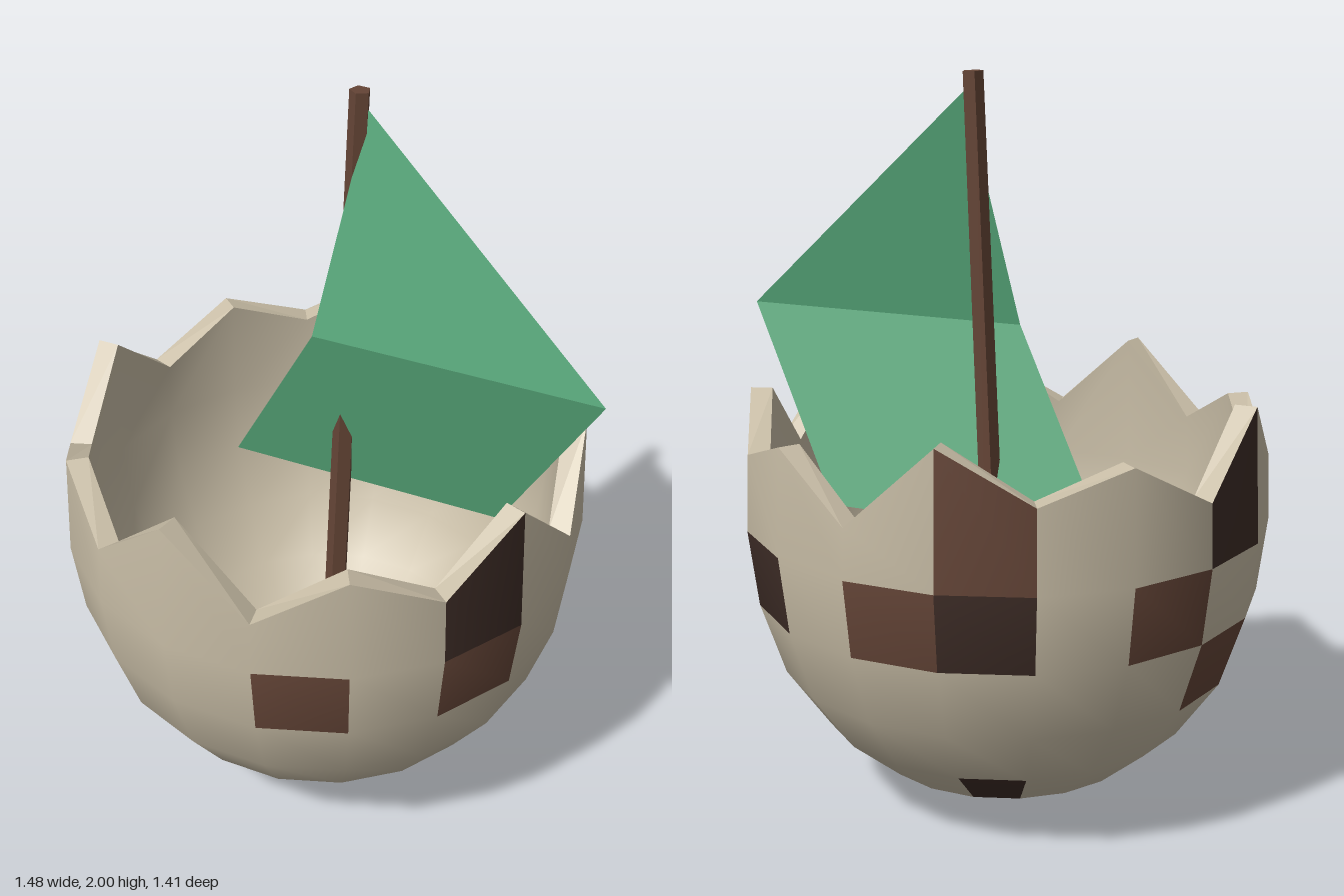
import * as THREE from 'three';

const SIDES = 18, CENTRE_X = -0.025, WALL = 0.06;
// Height of each rim corner, going round from +x towards +z
const RIM = [0.93, 1.155, 0.99, 1.095, 0.955, 1.165, 0.97, 1.09, 0.975,
  1.165, 0.97, 1.1, 1.02, 1.16, 0.935, 1.09, 1.01, 1.135];
// Shell profiles below the rim: [radius, height]
const OUTER = [[0, 0], [0.19, 0.03], [0.36, 0.105], [0.505, 0.225], [0.623, 0.39], [0.69, 0.59], [0.717, 0.8]];
const INNER = [[0, 0.06], [0.17, 0.088], [0.325, 0.158], [0.455, 0.268], [0.565, 0.42], [0.63, 0.605], [0.657, 0.8]];
// Spotted cells: [row, column]
const BROWN = [[5, 3], [5, 1], [2, 1], [3, 0], [1, 6], [1, 3], [6, 12], [5, 13], [5, 10], [4, 9], [2, 8]];
const DARK = [[6, 7], [4, 6], [6, 1], [2, 3], [2, 2], [5, 15], [1, 4], [5, 12], [6, 9], [2, 12], [1, 7]];

function material(name, color, side = THREE.FrontSide) {
  const m = new THREE.MeshStandardMaterial({ color, side });
  m.name = name;
  return m;
}

function ringPoint(k, r, y) {
  const a = (k % SIDES) * Math.PI * 2 / SIDES;
  return [CENTRE_X + r * Math.cos(a), y, r * Math.sin(a)];
}

function rimPoint(k, inset) {
  const y = RIM[k % SIDES];
  return ringPoint(k, 0.717 - 0.04 * (y - 0.8) - inset, y);
}

// Smooth bowl wall; cellColour(row, column) picks a material group
function bowl(profile, inset, inward, cellColour) {
  const pos = [], lists = [[], [], []];
  for (const [r, y] of profile) for (let k = 0; k < SIDES; k++) pos.push(...ringPoint(k, r, y));
  for (let k = 0; k < SIDES; k++) pos.push(...rimPoint(k, inset));
  for (let row = 0; row < profile.length; row++) {
    for (let k = 0; k < SIDES; k++) {
      const n = (k + 1) % SIDES;
      const a = row * SIDES + k, b = a + SIDES, d = row * SIDES + n, c = d + SIDES;
      const tris = row === 0 ? [[a, b, c]] : [[a, b, c], [a, c, d]];
      for (const t of tris) lists[cellColour(row, k)].push(...(inward ? t.reverse() : t));
    }
  }
  const g = new THREE.BufferGeometry();
  g.setAttribute('position', new THREE.Float32BufferAttribute(pos, 3));
  g.setIndex(lists.flat());
  let start = 0;
  lists.forEach((list, i) => {
    if (list.length) g.addGroup(start, list.length, i);
    start += list.length;
  });
  g.computeVertexNormals();
  return g;
}

// Flat-shaded faces from a list of quads or triangles
function facets(faces) {
  const pos = [];
  for (const f of faces) {
    for (let i = 1; i < f.length - 1; i++) pos.push(...f[0], ...f[i], ...f[i + 1]);
  }
  const g = new THREE.BufferGeometry();
  g.setAttribute('position', new THREE.Float32BufferAttribute(pos, 3));
  g.computeVertexNormals();
  return g;
}

export function createModel() {
  const group = new THREE.Group();
  const shell = material('shell', 0xc8bda6);
  const brown = material('brown', 0x664638);
  const dark = material('darkBrown', 0x3d2c26);
  const green = material('sailGreen', 0x57a87a, THREE.DoubleSide);
  const wood = material('wood', 0x654536);
  wood.flatShading = true;

  const add = (name, geometry, mat) => {
    const mesh = new THREE.Mesh(geometry, mat);
    mesh.name = name;
    group.add(mesh);
    return mesh;
  };

  // Broken eggshell: spotted outside, plain inside
  const has = (list, row, k) => list.some(([r, c]) => r === row && c === k);
  const spots = (row, k) => (has(BROWN, row, k) ? 1 : has(DARK, row, k) ? 2 : 0);
  add('outerShell', bowl(OUTER, 0, false, spots), [shell, brown, dark]);
  add('innerShell', bowl(INNER, WALL, true, () => 0), [shell]);

  // Jagged broken edge joining both walls
  const edge = [];
  for (let k = 0; k < SIDES; k++) {
    edge.push([rimPoint(k, 0), rimPoint(k, WALL), rimPoint(k + 1, WALL), rimPoint(k + 1, 0)]);
  }
  add('brokenEdge', facets(edge), shell);

  // Leaning five-sided mast
  const top = new THREE.Vector3(0.002, 2, -0.155), foot = new THREE.Vector3(-0.05, 0.07, -0.095);
  const dir = top.clone().sub(foot);
  const mast = add('mast', new THREE.CylinderGeometry(0.028, 0.034, dir.length(), 5), wood);
  mast.position.copy(top).add(foot).multiplyScalar(0.5);
  mast.quaternion.setFromUnitVectors(new THREE.Vector3(0, 1, 0), dir.normalize());

  // Folded sail: upper triangle and lower panel
  const foldL = [-0.077, 1.33, -0.03], foldR = [0.74, 1.33, -0.03];
  add('sail', facets([
    [[0.025, 1.95, -0.155], foldL, foldR],
    [foldL, [-0.38, 0.8, -0.155], [0.435, 0.8, -0.155], foldR],
  ]), green);

  return group;
}
